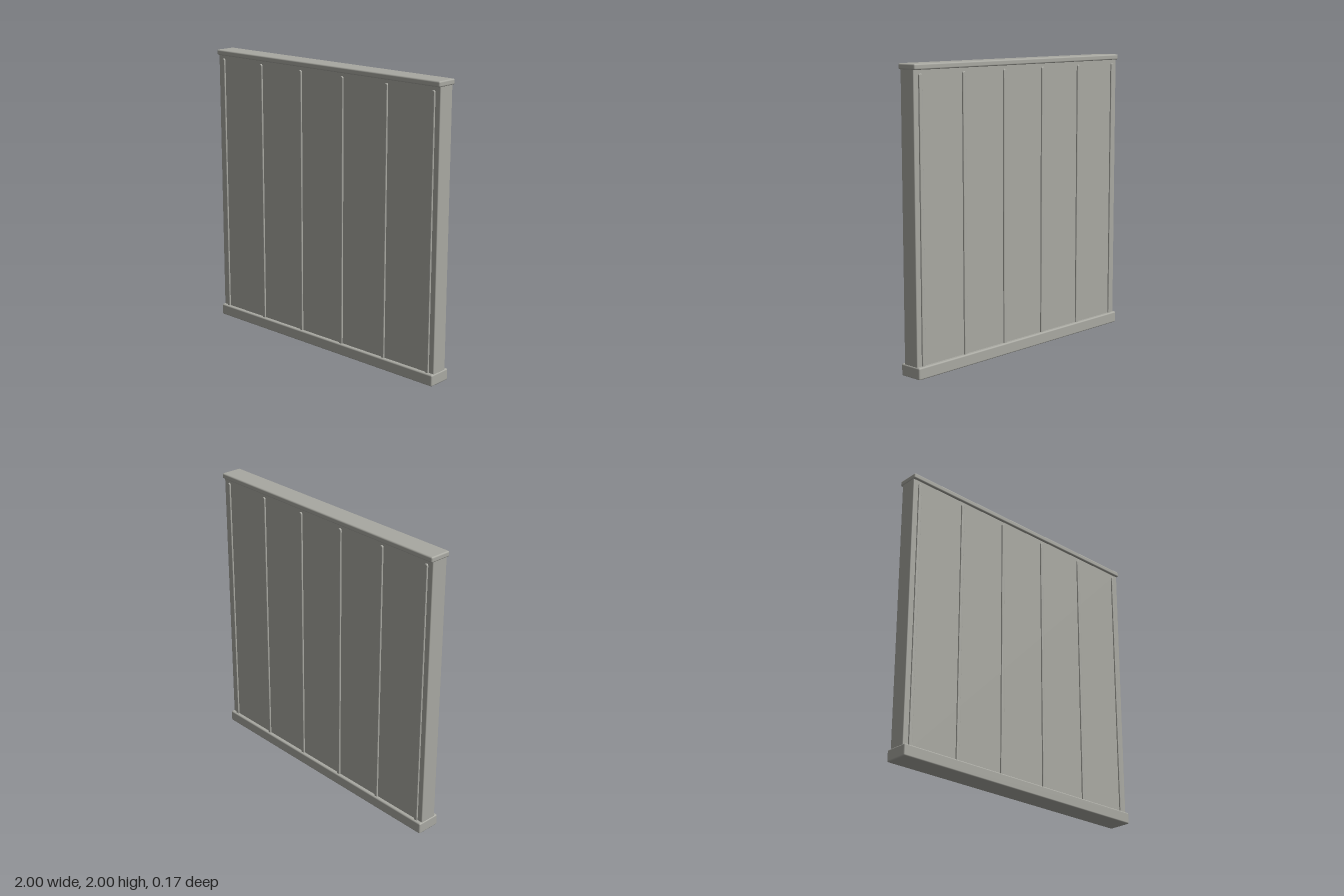
import * as THREE from 'three';
import { RoundedBoxGeometry } from 'three/addons/geometries/RoundedBoxGeometry.js';

export function createModel() {
  const group = new THREE.Group();
  const grey = new THREE.MeshStandardMaterial({ color: 0xa8a8a1 });
  grey.name = 'wallGrey';

  function add(name, geometry) {
    const mesh = new THREE.Mesh(geometry, grey);
    mesh.name = name;
    group.add(mesh);
    return mesh;
  }

  // Box with softened edges, spanning y0 to y1
  function slab(name, width, y0, y1, depth, radius) {
    const mesh = add(name, new RoundedBoxGeometry(width, y1 - y0, depth, 2, radius));
    mesh.position.y = (y0 + y1) / 2;
  }

  slab('wallPanel', 1.99, 0.01, 1.99, 0.12, 0.006);
  slab('baseBoard', 2, 0, 0.08, 0.17, 0.01);
  slab('topRail', 2, 1.962, 2, 0.154, 0.01);

  // Batten outline: straight strip with a rounded top
  const r = 0.008, bevel = 0.005, top = 1.94;
  const outline = new THREE.Shape();
  outline.moveTo(-r, 0.06);
  outline.lineTo(r, 0.06);
  outline.lineTo(r, top - bevel - r);
  outline.absarc(0, top - bevel - r, r, 0, Math.PI, false);
  outline.lineTo(-r, 0.06);
  const batten = new THREE.ExtrudeGeometry(outline, {
    depth: 0.01, bevelEnabled: true, bevelThickness: bevel, bevelSize: bevel,
    bevelSegments: 3, curveSegments: 8,
  });

  // Six battens on each face
  for (const side of [1, -1]) {
    for (let i = 0; i < 6; i++) {
      const mesh = add(side > 0 ? 'frontBatten' : 'backBatten', batten);
      mesh.position.set(-0.943 + i * 0.3772, 0, side * 0.056);
      if (side < 0) mesh.rotation.y = Math.PI;
    }
  }

  return group;
}
